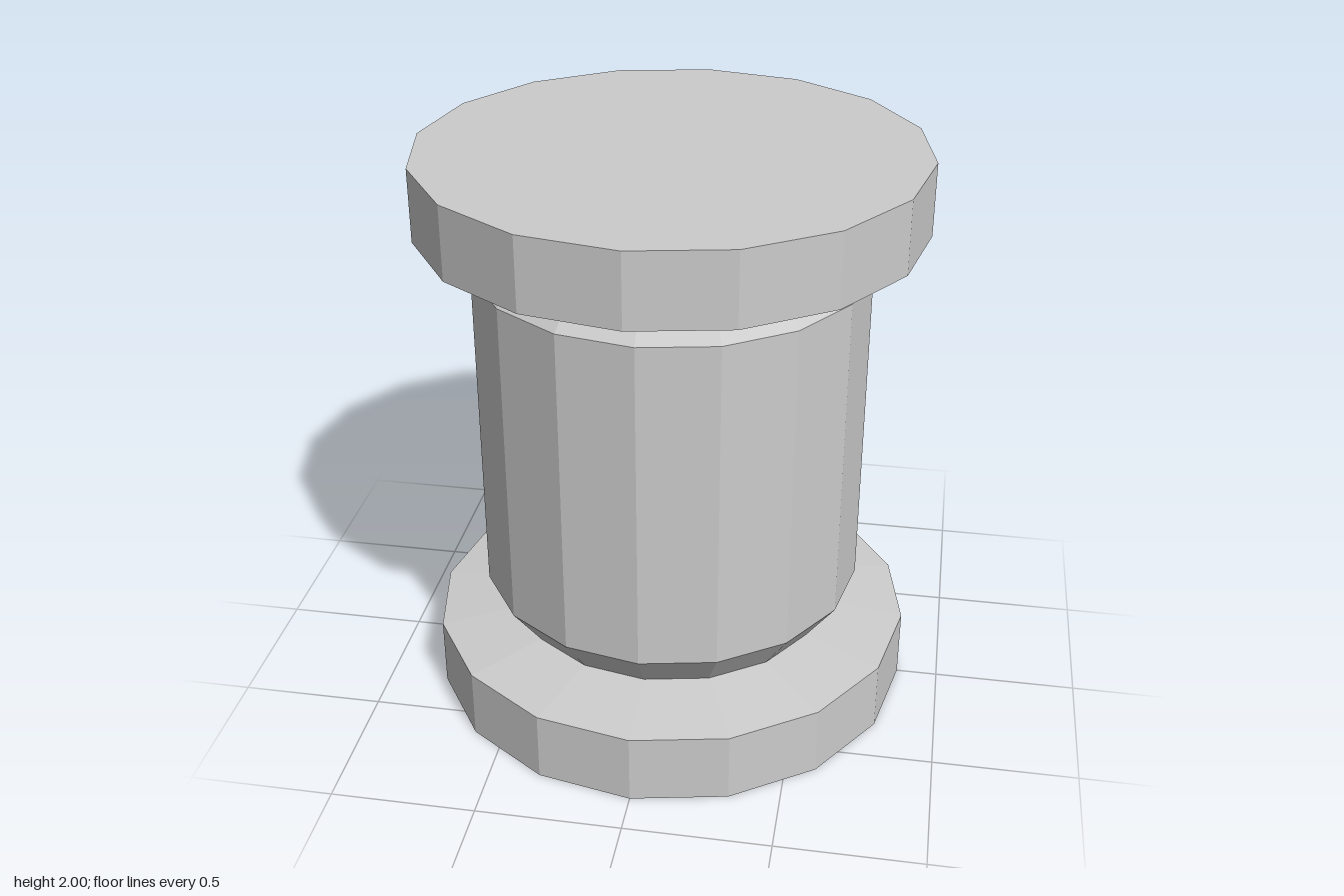
import * as THREE from 'three';

const SIDES = 16;

// Faceted solid of revolution; profile runs bottom to top as [radius, y]
function turned(name, profile, material) {
  const points = profile.map(([r, y]) => new THREE.Vector2(r, y));
  const geometry = new THREE.LatheGeometry(points, SIDES).toNonIndexed();
  geometry.computeVertexNormals();
  const mesh = new THREE.Mesh(geometry, material);
  mesh.name = name;
  return mesh;
}

export function createModel() {
  const model = new THREE.Group();
  model.name = 'spool';

  const grey = new THREE.MeshStandardMaterial({ color: 0xcccccc, flatShading: true });
  grey.name = 'light grey';

  const rim = 0.855, neck = 0.57, barrel = 0.675;

  // Bottom flange: flat underside, straight rim, shallow cone up to the neck
  model.add(turned('bottomFlange', [[0, 0], [rim, 0], [rim, 0.25], [neck, 0.285]], grey));

  // Barrel with a chamfer at each end
  model.add(turned('barrel', [[neck, 0.285], [barrel, 0.43], [barrel, 1.61], [neck, 1.715]], grey));

  // Top flange: shallow cone out from the neck, straight rim, flat top
  model.add(turned('topFlange', [[neck, 1.715], [rim, 1.75], [rim, 2], [0, 2]], grey));

  return model;
}
